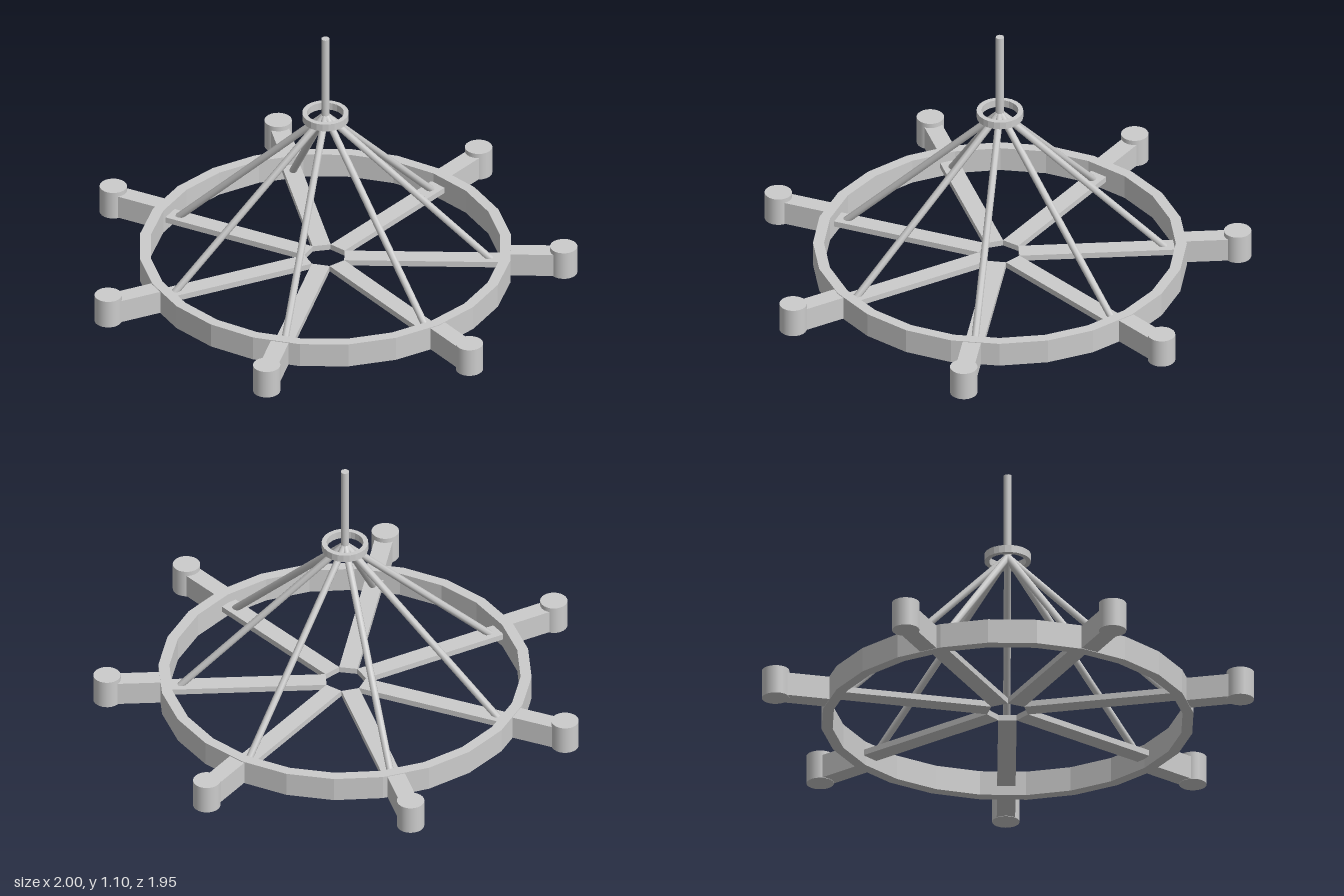
import * as THREE from 'three';

const mat = new THREE.MeshStandardMaterial({ color: 0xcccccc, flatShading: true });
const smooth = new THREE.MeshStandardMaterial({ color: 0xcccccc });
const COUNT = 7;

function add(parent, name, geometry, material, x = 0, y = 0, z = 0) {
  const mesh = new THREE.Mesh(geometry, material);
  mesh.name = name;
  mesh.position.set(x, y, z);
  parent.add(mesh);
  return mesh;
}

// Flat-sided band standing on y = 0
function band(outer, inner, height, sides) {
  const loop = r => Array.from({ length: sides }, (_, i) => {
    const a = (i / sides) * Math.PI * 2;
    return new THREE.Vector2(r * Math.cos(a), r * Math.sin(a));
  });
  const shape = new THREE.Shape(loop(outer));
  shape.holes.push(new THREE.Path(loop(inner)));
  return new THREE.ExtrudeGeometry(shape, { depth: height, bevelEnabled: false }).rotateX(-Math.PI / 2);
}

// Round rod between two points
function rod(parent, name, from, to, radius) {
  const dir = to.clone().sub(from);
  const mesh = add(parent, name, new THREE.CylinderGeometry(radius, radius, dir.length(), 8), smooth);
  mesh.position.copy(from).addScaledVector(dir, 0.5);
  mesh.quaternion.setFromUnitVectors(new THREE.Vector3(0, 1, 0), dir.normalize());
}

export function createModel() {
  const model = new THREE.Group();
  model.name = 'wheelChandelier';
  const wheel = new THREE.Group();
  wheel.name = 'wheel';
  wheel.position.z = -0.05;
  model.add(wheel);

  // Main rim, small top ring and hanging pole
  add(wheel, 'rim', band(0.76, 0.715, 0.105, 24), mat);
  add(wheel, 'topRing', band(0.095, 0.075, 0.032, 24), mat, 0, 0.715);
  add(wheel, 'pole', new THREE.CylinderGeometry(0.017, 0.017, 0.38, 12), smooth, 0, 0.91);

  // Spoke, arm, candle cup and stay rod, repeated around the hub
  for (let i = 0; i < COUNT; i++) {
    const sector = new THREE.Group();
    sector.name = `sector${i + 1}`;
    sector.rotation.y = (i / COUNT) * Math.PI * 2;
    wheel.add(sector);
    add(sector, 'spoke', new THREE.BoxGeometry(0.075, 0.025, 0.65), mat, 0, 0.052, 0.402);
    add(sector, 'arm', new THREE.BoxGeometry(0.075, 0.1, 0.23), mat, 0, 0.052, 0.84);
    add(sector, 'cup', new THREE.CylinderGeometry(0.056, 0.056, 0.122, 24), smooth, 0, 0.061, 0.969);
    rod(sector, 'stayRod', new THREE.Vector3(0, 0.73, 0.005), new THREE.Vector3(0, 0.058, 0.672), 0.015);
  }
  return model;
}
